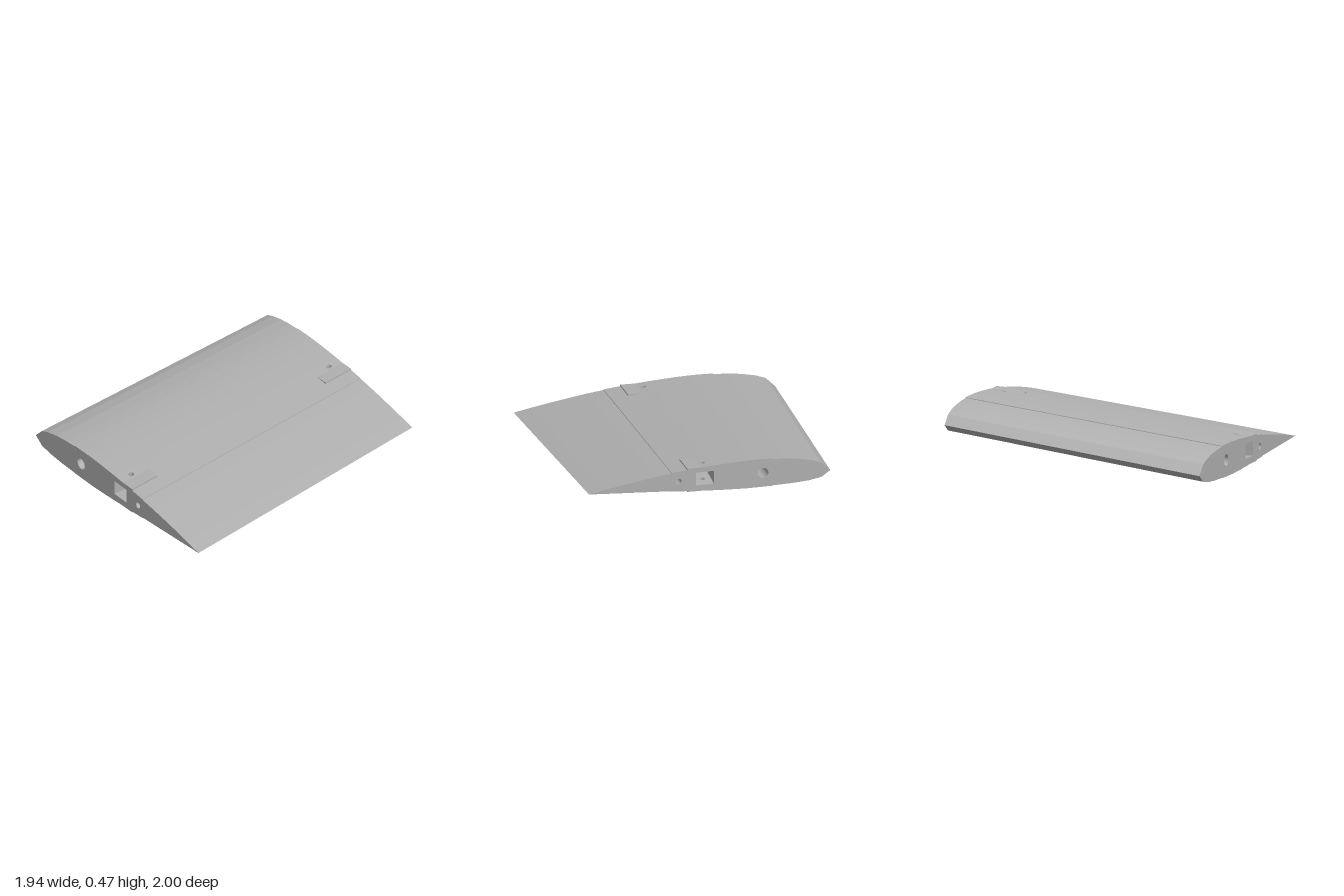
import * as THREE from 'three';
import { mergeGeometries } from 'three/addons/utils/BufferGeometryUtils.js';

// Airfoil section at the front end: nose, centre and tail panels
const TOP = {
  nose: [[-.972, .085], [-.9, .158], [-.83, .185], [-.72, .21], [-.61, .224], [-.51, .231]],
  centre: [[-.51, .236], [-.42, .239], [-.33, .24], [-.22, .237], [-.12, .232], [-.03, .227], [.1, .217], [.2, .208], [.305, .198]],
  tail: [[.305, .193], [.42, .179], [.55, .16], [.7, .136], [.84, .111], [.972, .085]],
};
const BOTTOM = {
  nose: [[-.972, .085], [-.9, .033], [-.8, .015], [-.67, .006], [-.51, .003]],
  centre: [[-.51, 0], [-.3, 0], [-.15, .006], [-.03, .013], [.1, .022], [.305, .037]],
  tail: [[.305, .041], [.972, .085]],
};
const ENDS = [1, -1];
const POCKET = { x0: -.035, x1: .11, y0: .07, y1: .18, depth: .22 };
const SPAR_HOLES = [[-.43, .12, .043], [.25, .118, .024]];
const SCREW = { x: .035, z: .9, r: .021 };

// Section point to space: the wing tapers and rises toward the back
function place(u, v, z) {
  const t = (1 - z) / 2, s = 1 - .077 * t;
  return new THREE.Vector3(u * s - .004 * t, v * s + .253 * t, z);
}

// Ruled surface between two rows of points
function band(a, b) {
  const pos = [];
  for (let i = 0; i < a.length - 1; i++) {
    for (const p of [a[i], b[i], b[i + 1], a[i], b[i + 1], a[i + 1]]) pos.push(p.x, p.y, p.z);
  }
  const g = new THREE.BufferGeometry();
  g.setAttribute('position', new THREE.Float32BufferAttribute(pos, 3));
  g.computeVertexNormals();
  return g;
}

// Flat outline with holes, carried into space by a rule
function sheet(outline, holes, rule) {
  const v2 = pts => pts.map(p => new THREE.Vector2(p[0], p[1]));
  const shape = new THREE.Shape(v2(outline));
  shape.holes = holes.map(h => new THREE.Path(v2(h)));
  const g = new THREE.ShapeGeometry(shape).toNonIndexed();
  const p = g.attributes.position;
  for (let i = 0; i < p.count; i++) {
    const q = rule(p.getX(i), p.getY(i));
    p.setXYZ(i, q.x, q.y, q.z);
  }
  g.deleteAttribute('uv');
  g.computeVertexNormals();
  return g;
}

const circle = (x, y, r, n = 32) => Array.from({ length: n }, (_, i) => {
  const a = i / n * Math.PI * 2;
  return [x + r * Math.cos(a), y + r * Math.sin(a)];
});
const rect = (x0, y0, x1, y1) => [[x0, y0], [x1, y0], [x1, y1], [x0, y1]];
const closed = pts => [...pts, pts[0]];
const row = (pts, z) => pts.map(([u, v]) => place(u, v, z));

// Height of the skin on the panel that carries the screw holes
function skinHeight(side, u) {
  const i = side.centre.findIndex(p => p[0] === -.03);
  const [a, b] = [side.centre[i], side.centre[i + 1]];
  return a[1] + (b[1] - a[1]) * (u - a[0]) / (b[0] - a[0]);
}

// One skin panel; the strip over the pockets is pierced by the screw holes
function panel(pts, side) {
  const parts = [];
  for (let i = 0; i < pts.length - 1; i++) {
    const [a, b] = [pts[i], pts[i + 1]];
    if (a[0] === -.03) {
      parts.push(sheet(rect(a[0], -1, b[0], 1), ENDS.map(e => circle(SCREW.x, e * SCREW.z, SCREW.r)),
        (u, z) => place(u, skinHeight(side, u), z)));
    } else parts.push(band(row([a, b], -1), row([a, b], 1)));
  }
  return mergeGeometries(parts);
}

export function createModel() {
  const group = new THREE.Group();
  group.name = 'wingSection';
  const grey = new THREE.MeshStandardMaterial({ color: 0xb0b0b0, side: THREE.DoubleSide });
  grey.name = 'plain grey';
  const add = (name, geometry) => {
    const m = new THREE.Mesh(geometry, grey);
    m.name = name;
    group.add(m);
  };

  // Skins, with small steps where the panels meet
  for (const [label, side] of [['upper', TOP], ['lower', BOTTOM]]) {
    for (const part of ['nose', 'centre', 'tail']) add(`${label} ${part} skin`, panel(side[part], side));
    for (const [a, b] of [['nose', 'centre'], ['centre', 'tail']]) {
      const step = [side[a].at(-1), side[b][0]];
      add(`${label} seam step`, band(row(step, -1), row(step, 1)));
    }
  }

  // End ribs
  const upper = [...TOP.nose, ...TOP.centre, ...TOP.tail];
  const lower = [...BOTTOM.nose, ...BOTTOM.centre, ...BOTTOM.tail];
  const outline = [...lower, ...upper.slice(1, -1).reverse()];
  const openings = [...SPAR_HOLES.map(h => circle(...h)), rect(POCKET.x0, POCKET.y0, POCKET.x1, POCKET.y1)];
  for (const e of ENDS) add(e > 0 ? 'front rib' : 'back rib', sheet(outline, openings, (u, v) => place(u, v, e)));

  // Spar tubes running the full span
  for (const h of SPAR_HOLES) {
    const ring = closed(circle(...h));
    add('spar tube', band(row(ring, -1), row(ring, 1)));
  }

  for (const e of ENDS) {
    // Straight blind pocket in each end
    const lo = place(POCKET.x0, POCKET.y0, e), hi = place(POCKET.x1, POCKET.y1, e);
    const zIn = e * (1 - POCKET.depth);
    const screwPlan = circle(SCREW.x, e * SCREW.z, SCREW.r);
    const screwRing = screwPlan.map(([u, z]) => { const p = place(u, 0, z); return [p.x, p.z]; });
    const plan = rect(lo.x, Math.min(e, zIn), hi.x, Math.max(e, zIn));
    const walls = [sheet(rect(lo.x, lo.y, hi.x, hi.y), [], (x, y) => new THREE.Vector3(x, y, zIn))];
    for (const y of [lo.y, hi.y]) walls.push(sheet(plan, [screwRing], (x, z) => new THREE.Vector3(x, y, z)));
    for (const x of [lo.x, hi.x]) {
      const edge = z => [new THREE.Vector3(x, lo.y, z), new THREE.Vector3(x, hi.y, z)];
      walls.push(band(edge(e), edge(zIn)));
    }
    add('pocket', mergeGeometries(walls));

    // Vertical screw holes from the skins into the pocket
    for (const [side, y] of [[TOP, hi.y], [BOTTOM, lo.y]]) {
      const outer = closed(screwPlan.map(([u, z]) => place(u, skinHeight(side, u), z)));
      add('screw hole', band(outer, closed(screwRing.map(([x, z]) => new THREE.Vector3(x, y, z)))));
    }

    // Raised pads beside the pocket, above and below
    for (const pad of [[[.06, .219], [.18, .222], [.18, .205]], [[.06, .0195], [.18, .0205], [.18, .032]]]) {
      const inner = e * .767;
      add('pocket pad', mergeGeometries([
        band(row(pad, Math.min(e, inner)), row(pad, Math.max(e, inner))),
        ...[e, inner].map(z => sheet(pad, [], (u, v) => place(u, v, z))),
      ]));
    }
  }
  return group;
}
